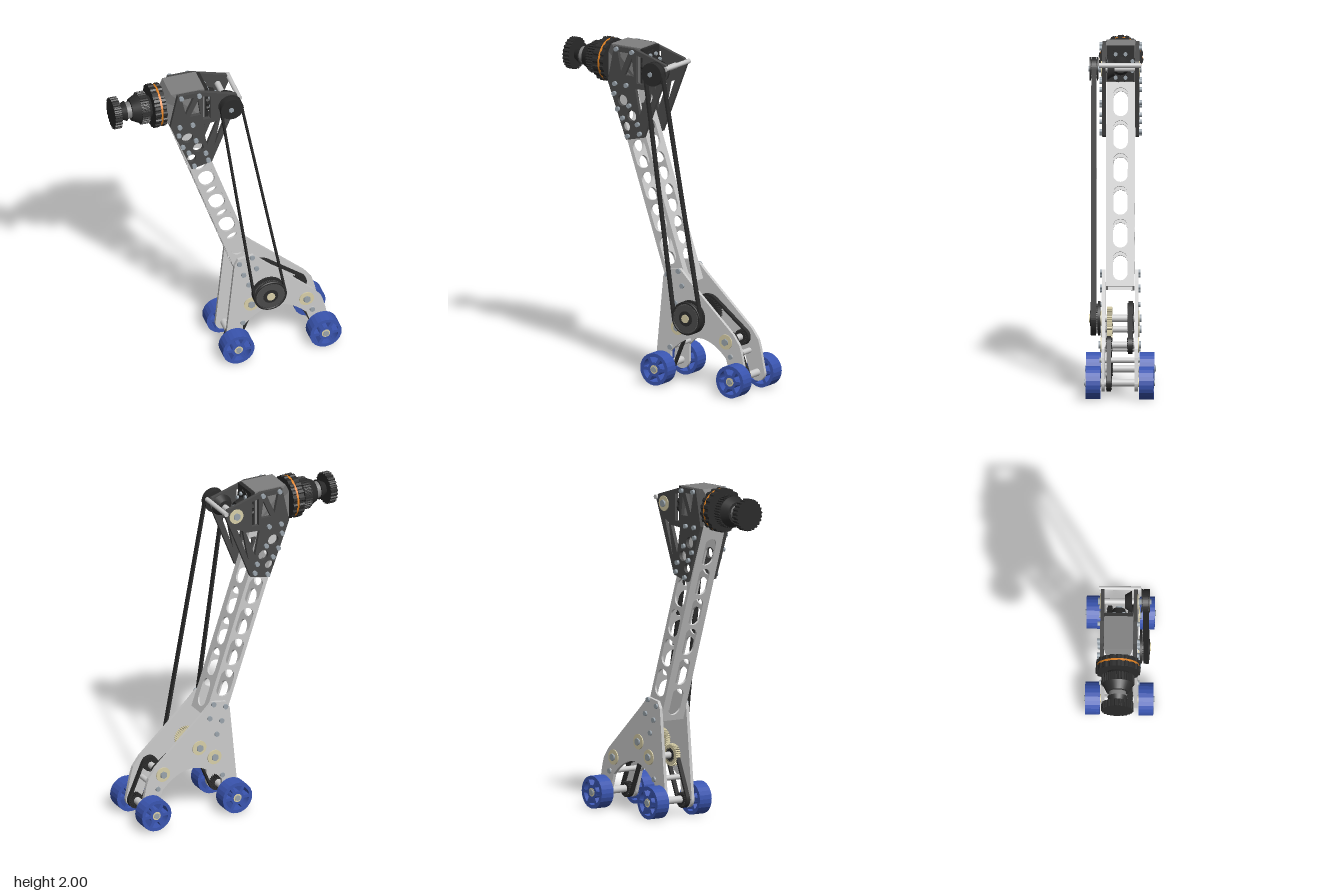
import * as THREE from 'three';

const mat = (color) => new THREE.MeshStandardMaterial({ color, side: THREE.DoubleSide });
const GREY = mat(0xcccccc), DARK = mat(0x4a4a4a), BLACK = mat(0x2b2b2b), HOUSING = mat(0x808080),
  BLUE = mat(0x3a55b0), TAN = mat(0xd8cfa8), ORANGE = mat(0xe08020), STEEL = mat(0x9aa4ac);

export function createModel() {
  const root = new THREE.Group();
  const add = (name, geo, material, parent = root) => {
    const m = new THREE.Mesh(geo, material);
    m.name = name;
    parent.add(m);
    return m;
  };
  const poly = (pts, Type = THREE.Shape) => new Type(pts.map(([x, y]) => new THREE.Vector2(x, y)));
  const circle = (x, y, r) => new THREE.Path().absarc(x, y, r, 0, Math.PI * 2);
  // extrusion along z from z0 to z1
  const slab = (shape, z0, z1) =>
    new THREE.ExtrudeGeometry(shape, { depth: z1 - z0, bevelEnabled: false, curveSegments: 12 }).translate(0, 0, z0);
  // round bar along z, or tapered bar along x on the drive axis
  const barZ = (name, x, y, r, z0, z1, material = GREY, sides = 24) =>
    add(name, new THREE.CylinderGeometry(r, r, z1 - z0, sides).rotateX(Math.PI / 2).translate(x, y, (z0 + z1) / 2), material);
  const AXIS_Y = 1.87;
  const barX = (name, x0, x1, r0, r1, material = BLACK) =>
    add(name, new THREE.CylinderGeometry(r1, r0, x1 - x0, 32).rotateZ(-Math.PI / 2).translate((x0 + x1) / 2, AXIS_Y, 0), material);
  const gearShape = (r, teeth, depth, bore) => {
    const pts = [];
    for (let i = 0; i < teeth; i++)
      [[0, r - depth], [0.3, r - depth], [0.45, r], [0.8, r]].forEach(([f, q]) => {
        const a = ((i + f) / teeth) * Math.PI * 2;
        pts.push([q * Math.cos(a), q * Math.sin(a)]);
      });
    const s = poly(pts);
    if (bore) s.holes.push(circle(0, 0, bore));
    return s;
  };
  const gear = (name, x, y, r, z0, z1, material = BLACK, teeth = 30) =>
    add(name, slab(gearShape(r, teeth, 0.008, 0.015), z0, z1).translate(x, y, 0), material);
  const gearX = (name, x0, x1, r, teeth = 36) =>
    add(name, slab(gearShape(r, teeth, 0.007), x0, x1).rotateY(Math.PI / 2).translate(0, AXIS_Y, 0), BLACK);
  // closed belt round two pulleys
  const belt = (name, [x1, y1, r1], [x2, y2, r2], z0, z1) => {
    const a = Math.atan2(y2 - y1, x2 - x1), p = Math.acos((r1 - r2) / Math.hypot(x2 - x1, y2 - y1));
    const loop = (path, t) => path
      .absarc(x1, y1, r1 + t, a + p, a - p + Math.PI * 2)
      .absarc(x2, y2, r2 + t, a - p, a + p);
    const s = loop(new THREE.Shape(), 0.012);
    s.holes.push(loop(new THREE.Path(), 0));
    add(name, slab(s, z0, z1), BLACK);
  };

  // slotted square-tube beam
  const beam = new THREE.Group();
  beam.name = 'beam';
  beam.position.set(-0.276, 1.792, 0);
  beam.rotation.z = 0.33;
  root.add(beam);
  const L = 1.27, W = 0.137, D = 0.168, T = 0.012;
  const slotted = (w, slotW, first, count) => {
    const s = poly([[-w / 2, 0], [-w / 2, -L], [w / 2, -L], [w / 2, 0]]);
    const r = slotW / 2, h = 0.085 - r;
    for (let i = 0; i < count; i++) {
      const y = -(first + i * 0.195);
      s.holes.push(new THREE.Path().absarc(0, y + h, r, 0, Math.PI).absarc(0, y - h, r, Math.PI, Math.PI * 2));
    }
    return s;
  };
  for (const s of [-1, 1]) {
    add('beamFace', slab(slotted(W, 0.092, 0.27, 5), -T / 2, T / 2).translate(0, 0, s * (D - T) / 2), GREY, beam);
    add('beamSide', slab(slotted(D - 2 * T, 0.085, 0.175, 6), -T / 2, T / 2)
      .rotateY(Math.PI / 2).translate(s * (W - T) / 2, 0, 0), GREY, beam);
  }

  // lower leg plates and upper truss plates
  const leg = new THREE.Shape();
  leg.absarc(0.045, 0.1, 0.052, Math.PI, Math.PI * 2);
  leg.lineTo(0.1, 0.2);
  leg.quadraticCurveTo(0.3, 0.41, 0.49, 0.21);
  leg.absarc(0.58, 0.1, 0.052, Math.PI * 1.05, Math.PI * 2);
  [[0.6, 0.25], [0.585, 0.3], [0.54, 0.36], [0.22, 0.65], [0.165, 0.705], [0.07, 0.69], [0.048, 0.65]]
    .forEach(([x, y]) => leg.lineTo(x, y));
  const truss = poly([[-0.3, 1.985], [-0.345, 1.77], [-0.215, 1.43], [-0.09, 1.46], [0.08, 1.89], [0.06, 1.92], [-0.16, 1.985]]);
  truss.holes.push(
    ...[[[-0.275, 1.955], [-0.2, 1.955], [-0.25, 1.84]], [[-0.225, 1.82], [-0.175, 1.93], [-0.16, 1.82]],
      [[-0.145, 1.78], [-0.145, 1.95], [-0.1, 1.94], [-0.1, 1.78]],
      [[-0.15, 1.745], [-0.06, 1.75], [-0.12, 1.59]], [[-0.04, 1.765], [-0.003, 1.78], [-0.077, 1.57]]]
      .map((p) => poly(p, THREE.Path)),
    circle(-0.24, 1.665, 0.034), circle(-0.175, 1.58, 0.032), circle(-0.215, 1.51, 0.028));
  const legBolts = [[0.077, 0.66], [0.156, 0.69], [0.182, 0.605], [0.103, 0.575], [0.135, 0.495], [0.098, 0.225], [0.525, 0.225]];
  const trussBolts = [[-0.29, 1.76], [-0.21, 1.76], [-0.295, 1.7], [-0.27, 1.61], [-0.2, 1.455], [-0.115, 1.48],
    [-0.13, 1.535], [-0.19, 1.64], [-0.28, 1.97], [-0.17, 1.965], [-0.235, 1.56]];
  for (const s of [-1, 1]) {
    const zs = (a, b) => (s > 0 ? [a, b] : [-b, -a]);
    add('legPlate', slab(leg, ...zs(0.087, 0.107)), GREY);
    add('trussPlate', slab(truss, ...zs(0.086, 0.108)), DARK);
    legBolts.forEach(([x, y]) => barZ('legBolt', x, y, 0.015, ...zs(0.107, 0.118), STEEL, 12));
    trussBolts.forEach(([x, y]) => barZ('trussBolt', x, y, 0.014, ...zs(0.108, 0.124), STEEL, 12));
    for (const [x, y] of [[0.15, 0.35], [0.49, 0.31], [0.25, 0.43], [0.005, 1.87]]) {
      barZ('bearing', x, y, 0.045, ...zs(0.106, 0.113), TAN);
      barZ('axleNut', x, y, 0.022, ...zs(0.113, 0.124), STEEL, 6);
    }
    // spoked wheels
    for (const x of [0.045, 0.58]) {
      const rim = new THREE.Shape().absarc(0, 0, 0.097, 0, Math.PI * 2);
      rim.holes.push(circle(0, 0, 0.016));
      for (let i = 0; i < 6; i++) {
        const a = (i + 0.5) * Math.PI / 3;
        rim.holes.push(new THREE.Path()
          .absarc(0, 0, 0.076, a - 0.4, a + 0.4).absarc(0, 0, 0.042, a + 0.3, a - 0.3, true));
      }
      add('wheel', slab(rim, ...zs(0.113, 0.2)).translate(x, 0.1, 0), BLUE);
      barZ('wheelHub', x, 0.1, 0.026, ...zs(0.108, 0.201), TAN);
      barZ('wheelNut', x, 0.1, 0.018, ...zs(0.2, 0.207), STEEL, 6);
    }
  }

  // cross axles and standoffs
  [[0.045, 0.1, 0.022], [0.58, 0.1, 0.022], [0.15, 0.35, 0.02], [0.49, 0.31, 0.02], [0.25, 0.43, 0.022],
    [0.098, 0.225, 0.016], [0.525, 0.225, 0.016], [0.005, 1.87, 0.018]]
    .forEach(([x, y, r]) => barZ('crossAxle', x, y, r, -0.11, 0.11));
  barZ('topStandoff', 0.075, 1.9, 0.014, -0.12, 0.125);
  barZ('upperDriveShaft', 0.005, 1.87, 0.016, 0.1, 0.188, STEEL, 6);
  barZ('lowerDriveShaft', 0.25, 0.43, 0.016, 0.1, 0.18, STEEL, 6);

  // long outer belt drive
  belt('longBelt', [0.012, 1.87, 0.056], [0.25, 0.43, 0.088], 0.14, 0.17);
  gear('smallPulley', 0.012, 1.87, 0.056, 0.138, 0.172);
  barZ('smallPulleyFlange', 0.012, 1.87, 0.07, 0.172, 0.18, BLACK);
  barZ('smallPulleyBack', 0.012, 1.87, 0.07, 0.13, 0.138, BLACK);
  gear('largePulley', 0.25, 0.43, 0.088, 0.13, 0.172, DARK, 48);
  barZ('largePulleyFlange', 0.25, 0.43, 0.1, 0.116, 0.13, BLACK, 40);
  add('largePulleyRim', new THREE.TorusGeometry(0.093, 0.007, 8, 48).translate(0.25, 0.43, 0.166), BLACK);
  barZ('largePulleyBoss', 0.25, 0.43, 0.045, 0.17, 0.176, BLACK);
  barZ('largePulleyHub', 0.25, 0.43, 0.025, 0.174, 0.182, TAN);

  // inner belts and gears between the leg plates
  belt('crossBelt', [0.25, 0.43, 0.09], [0.49, 0.31, 0.04], -0.075, -0.048);
  gear('crossPulley', 0.25, 0.43, 0.09, -0.08, -0.043, BLACK, 40);
  gear('crossIdler', 0.49, 0.31, 0.042, -0.08, -0.043, BLACK, 20);
  gear('driveGear', 0.25, 0.43, 0.068, 0.046, 0.076, TAN, 32);
  gear('reverseGear', 0.15, 0.35, 0.066, 0.046, 0.076, TAN, 32);
  for (const [x, y, wx] of [[0.15, 0.35, 0.045], [0.49, 0.31, 0.58]]) {
    belt('wheelBelt', [x, y, 0.04], [wx, 0.1, 0.04], 0.05, 0.076);
    gear('wheelBeltTopPulley', x, y, 0.042, 0.044, 0.08, BLACK, 20);
    gear('wheelBeltPulley', wx, 0.1, 0.042, 0.044, 0.08, BLACK, 20);
  }

  // gearbox housing
  const box = poly([[-0.37, 1.77], [-0.37, 1.93], [-0.335, 1.99], [-0.13, 1.99], [-0.13, 1.77]]);
  const housing = slab(box, -0.085, 0.085), hp = housing.attributes.position;
  for (let i = 0; i < hp.count; i++) if (hp.getX(i) < -0.36) hp.setZ(i, hp.getZ(i) * 0.75);
  housing.computeVertexNormals();
  add('gearboxHousing', housing, HOUSING);
  add('housingEndPlate', new THREE.BoxGeometry(0.035, 0.21, 0.165).translate(-0.125, 1.88, 0), BLACK);
  gearX('outputDisc', -0.12, -0.102, 0.098, 12);
  for (let i = 0; i < 8; i++) {
    const a = (i + 0.5) * Math.PI / 4;
    add('discBolt', new THREE.CylinderGeometry(0.012, 0.012, 0.016, 8).rotateZ(Math.PI / 2)
      .translate(-0.098, AXIS_Y + 0.075 * Math.sin(a), 0.075 * Math.cos(a)), STEEL);
  }

  // bevel gear pair
  barX('bevelShaft', -0.1, -0.03, 0.02, 0.02, STEEL);
  barX('bevelPinion', -0.095, -0.045, 0.055, 0.035);
  add('bevelWheel', new THREE.CylinderGeometry(0.065, 0.04, 0.04, 24).rotateX(Math.PI / 2).translate(0.005, AXIS_Y, 0.055), BLACK);

  // motor and stacked rollers on the side shaft
  barX('sideShaft', -0.672, -0.36, 0.03, 0.03, STEEL);
  gearX('endRoller', -0.675, -0.632, 0.095, 24);
  barX('endCone', -0.632, -0.59, 0.038, 0.06);
  barX('coupling', -0.59, -0.545, 0.05, 0.05, HOUSING);
  barX('midCone', -0.56, -0.51, 0.065, 0.09);
  gearX('midRoller', -0.51, -0.462, 0.097);
  barX('rollerNeck', -0.465, -0.44, 0.08, 0.065);
  gearX('outerFlange', -0.44, -0.405, 0.131, 18);
  barX('orangeSpacer', -0.405, -0.392, 0.125, 0.125, ORANGE);
  gearX('innerFlange', -0.392, -0.368, 0.129, 18);
  return root;
}
